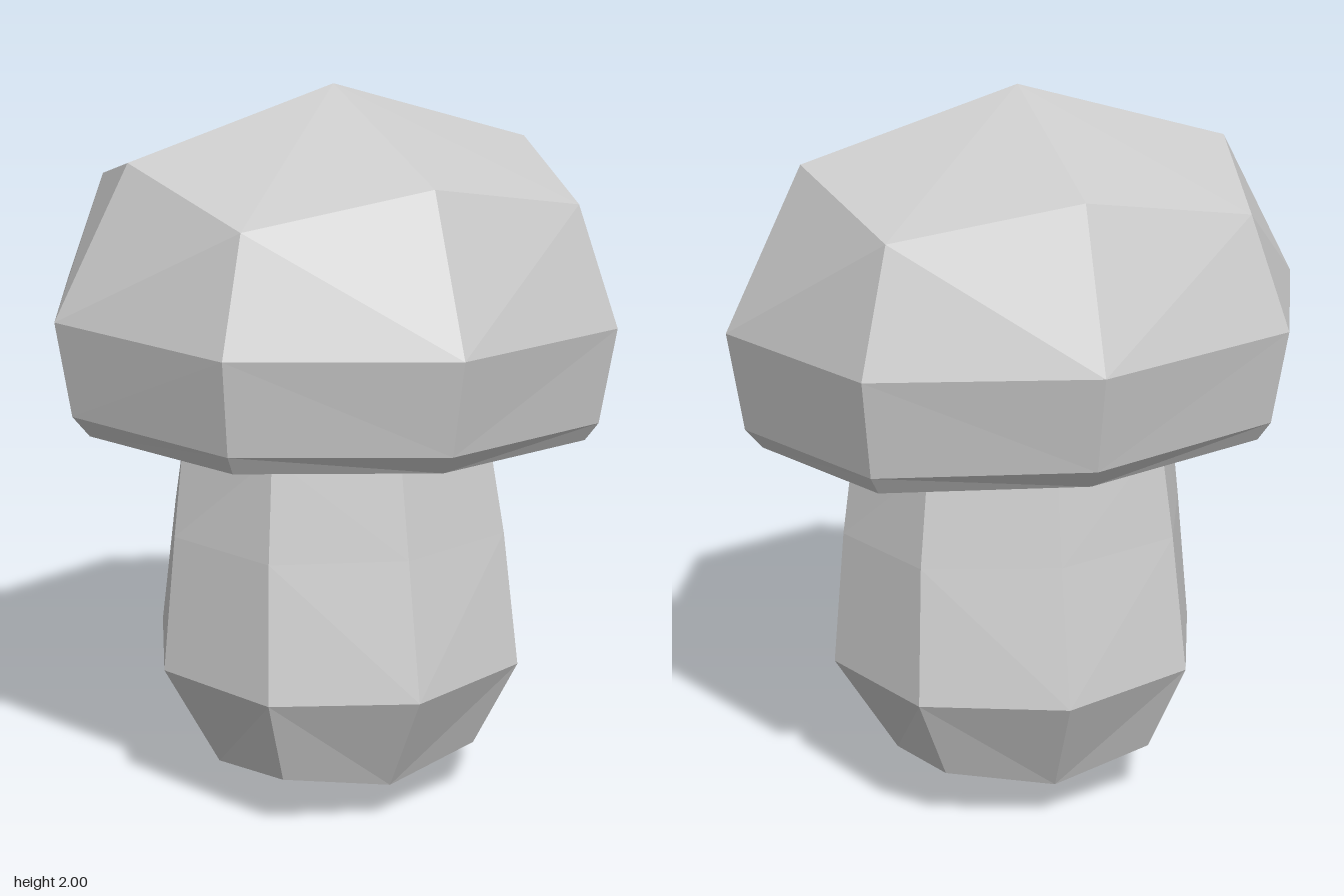
import * as THREE from 'three';

// Eight-sided ring: separate points on the x axis, z axis and corners,
// tilted along x by slope and shifted sideways by dx.
function ring({ side, front, corner, slope = 0, dx = 0 }) {
  const [sx, sy] = side, [fz, fy] = front, [cx, cz, cy] = corner;
  const base = [
    [sx, sy, 0], [cx, cy, cz], [0, fy, fz], [-cx, cy, cz],
    [-sx, sy, 0], [-cx, cy, -cz], [0, fy, -fz], [cx, cy, -cz],
  ];
  return base.map(([x, y, z]) => new THREE.Vector3(x + dx, y - slope * x, z));
}

// A pole is a ring collapsed to one point.
const pole = (y) => Array.from({ length: 8 }, () => new THREE.Vector3(0, y, 0));

// Faceted skin through rings listed from top to bottom.
function loft(rings) {
  const pos = [];
  const tri = (a, b, c) => {
    if (a.equals(b) || b.equals(c) || a.equals(c)) return;
    for (const v of [a, b, c]) pos.push(v.x, v.y, v.z);
  };
  for (let r = 0; r < rings.length - 1; r++) {
    const p = rings[r], q = rings[r + 1];
    for (let i = 0; i < 8; i++) {
      const j = (i + 1) % 8;
      if (i % 2) {
        tri(p[i], p[j], q[j]);
        tri(p[i], q[j], q[i]);
      } else {
        tri(p[i], p[j], q[i]);
        tri(p[j], q[j], q[i]);
      }
    }
  }
  const geo = new THREE.BufferGeometry();
  geo.setAttribute('position', new THREE.Float32BufferAttribute(pos, 3));
  geo.computeVertexNormals(); // unshared vertices give flat facets
  return geo;
}

export function createModel() {
  const group = new THREE.Group();
  group.name = 'mushroom';
  const grey = new THREE.MeshStandardMaterial({ color: 0xcccccc });
  grey.name = 'light grey';

  // Ring where the underside of the cap meets the stem
  const neck = ring({ side: [0.455, 1.072], front: [0.39, 1.07], corner: [0.325, 0.285, 1.066], slope: 0.036, dx: 0.008 });

  // Cap: slightly tilted dome, rounded rim and underside
  const cap = new THREE.Mesh(loft([
    pole(2),
    ring({ side: [0.59, 1.825], front: [0.577, 1.807], corner: [0.482, 0.475, 1.718], slope: 0.008 }),
    ring({ side: [0.803, 1.405], front: [0.745, 1.405], corner: [0.567, 0.548, 1.405], slope: 0.03 }),
    ring({ side: [0.762, 1.14], front: [0.69, 1.145], corner: [0.54, 0.512, 1.145], slope: 0.04 }),
    ring({ side: [0.715, 1.083], front: [0.64, 1.09], corner: [0.515, 0.485, 1.093], slope: 0.04 }),
    neck,
  ]), grey);
  cap.name = 'cap';

  // Stem: widens downwards, then closes in a blunt point
  const stem = new THREE.Mesh(loft([
    neck,
    ring({ side: [0.49, 0.79], front: [0.438, 0.79], corner: [0.355, 0.322, 0.79], slope: 0.015, dx: 0.01 }),
    ring({ side: [0.526, 0.41], front: [0.512, 0.41], corner: [0.38, 0.373, 0.415], slope: 0.01, dx: 0.008 }),
    ring({ side: [0.357, 0.115], front: [0.357, 0.115], corner: [0.295, 0.295, 0.163] }),
    pole(0),
  ]), grey);
  stem.name = 'stem';

  group.add(cap, stem);
  return group;
}
